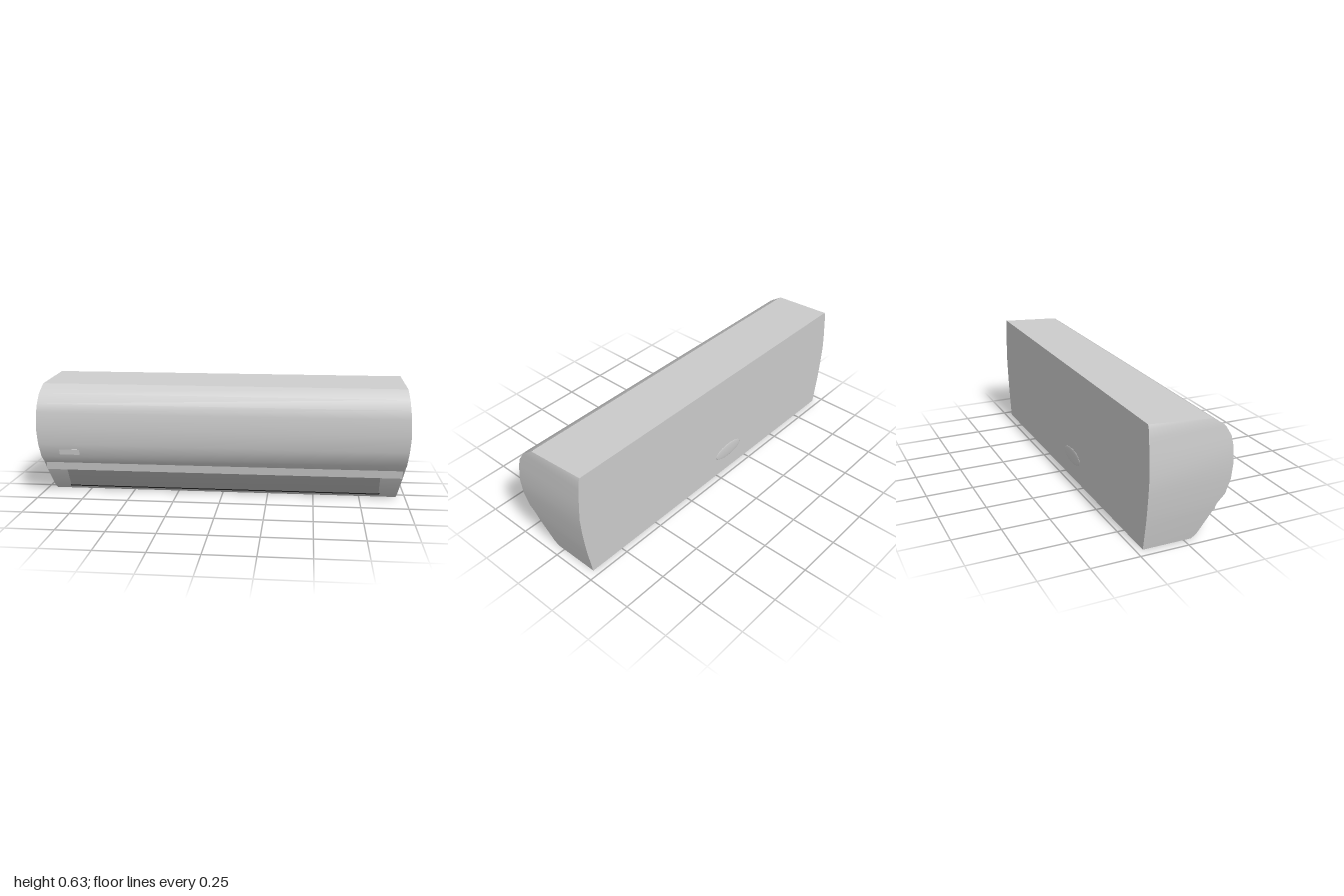
import * as THREE from 'three';
import { toCreasedNormals } from 'three/addons/utils/BufferGeometryUtils.js';

const BACK = -0.215;
// Front outline rows, bottom to top: [z, y, half width]
const ROWS = [
  [0.04, 0.0, 0.95], [0.065, 0.02, 0.954], [0.14, 0.145, 0.976], [0.157, 0.18, 0.981],
  [0.192, 0.22, 0.986], [0.214, 0.295, 0.994], [0.219, 0.38, 1.0], [0.214, 0.47, 0.996],
  [0.205, 0.515, 0.992], [0.175, 0.565, 0.988], [0.11, 0.61, 0.983], [BACK, 0.63, 0.975],
];

// Casing: front skin, back, bottom and gently bulging ends
function casingGeometry() {
  const pos = [], index = [];
  for (const [z, y, w] of ROWS) pos.push(-w, y, z, w, y, z, -w, y, BACK, w, y, BACK);
  const quad = (a, b, c, d) => index.push(a, b, c, a, c, d);
  for (let i = 0; i < ROWS.length - 1; i++) {
    const a = i * 4, b = a + 4;
    quad(a, a + 1, b + 1, b);
    quad(a + 3, a + 2, b + 2, b + 3);
    quad(a + 1, a + 3, b + 3, b + 1);
    quad(a + 2, a, b, b + 2);
  }
  quad(2, 3, 1, 0);
  const g = new THREE.BufferGeometry();
  g.setAttribute('position', new THREE.Float32BufferAttribute(pos, 3));
  g.setIndex(index);
  return toCreasedNormals(g, 0.5);
}

// Extrudes a (z, y) outline along x from x0 to x1
function alongX(points, x0, x1) {
  const shape = new THREE.Shape(points.map(([z, y]) => new THREE.Vector2(z, y)));
  const g = new THREE.ExtrudeGeometry(shape, { depth: x1 - x0, bevelEnabled: false });
  g.rotateY(-Math.PI / 2).translate(x1, 0, 0);
  return toCreasedNormals(g, 0.5);
}

// Thin plate following a (z, y) line, reaching from inside the casing to just outside
function plate(line, x0, x1, out, inside = 0.004) {
  const shift = (d) => line.map(([z, y], i) => {
    const p = line[Math.max(i - 1, 0)], n = line[Math.min(i + 1, line.length - 1)];
    const dz = n[0] - p[0], dy = n[1] - p[1], l = Math.hypot(dz, dy);
    return [z + (dy / l) * d, y - (dz / l) * d];
  });
  return alongX([...shift(out), ...shift(-inside).reverse()], x0, x1);
}

export function createModel() {
  const group = new THREE.Group();
  const material = (name, color) => {
    const m = new THREE.MeshStandardMaterial({ color });
    m.name = name;
    return m;
  };
  const shell = material('shell grey', 0xcccccc);
  const vaneGrey = material('vane grey', 0xa6a6a6);
  const dark = material('slot dark', 0x2c2c2c);
  const label = material('label light grey', 0xdedede);
  const add = (name, geometry, mat) => {
    const mesh = new THREE.Mesh(geometry, mat);
    mesh.name = name;
    group.add(mesh);
    return mesh;
  };

  add('casing', casingGeometry(), shell);

  // Curved front cover between the two end caps
  add('frontPanel', plate(ROWS.slice(3, 11), -0.975, 0.975, 0.0015), shell);

  // Overhanging lip above the outlet
  add('outletLip', alongX([[0.157, 0.181], [0.125, 0.181], [0.125, 0.136], [0.15, 0.136]], -0.97, 0.97), shell);

  // Outlet flap, slightly bowed, with the dark gap beneath it
  add('outletVane', plate([[0.07, 0.028], [0.105, 0.085], [0.137, 0.14]], -0.86, 0.855, 0.003), vaneGrey);
  add('outletGap', plate([[0.063, 0.019], [0.071, 0.03]], -0.865, 0.86, 0.0015), dark);

  // Small badge plate on the front cover
  add('badge', plate([[0.1964, 0.235], [0.2052, 0.265]], -0.88, -0.77, 0.003), label);

  // Shallow bulge on the back
  const bulge = add('backBulge', new THREE.SphereGeometry(1, 24, 12), shell);
  bulge.scale.set(0.105, 0.042, 0.004);
  bulge.position.set(-0.1, 0.13, BACK);

  return group;
}
